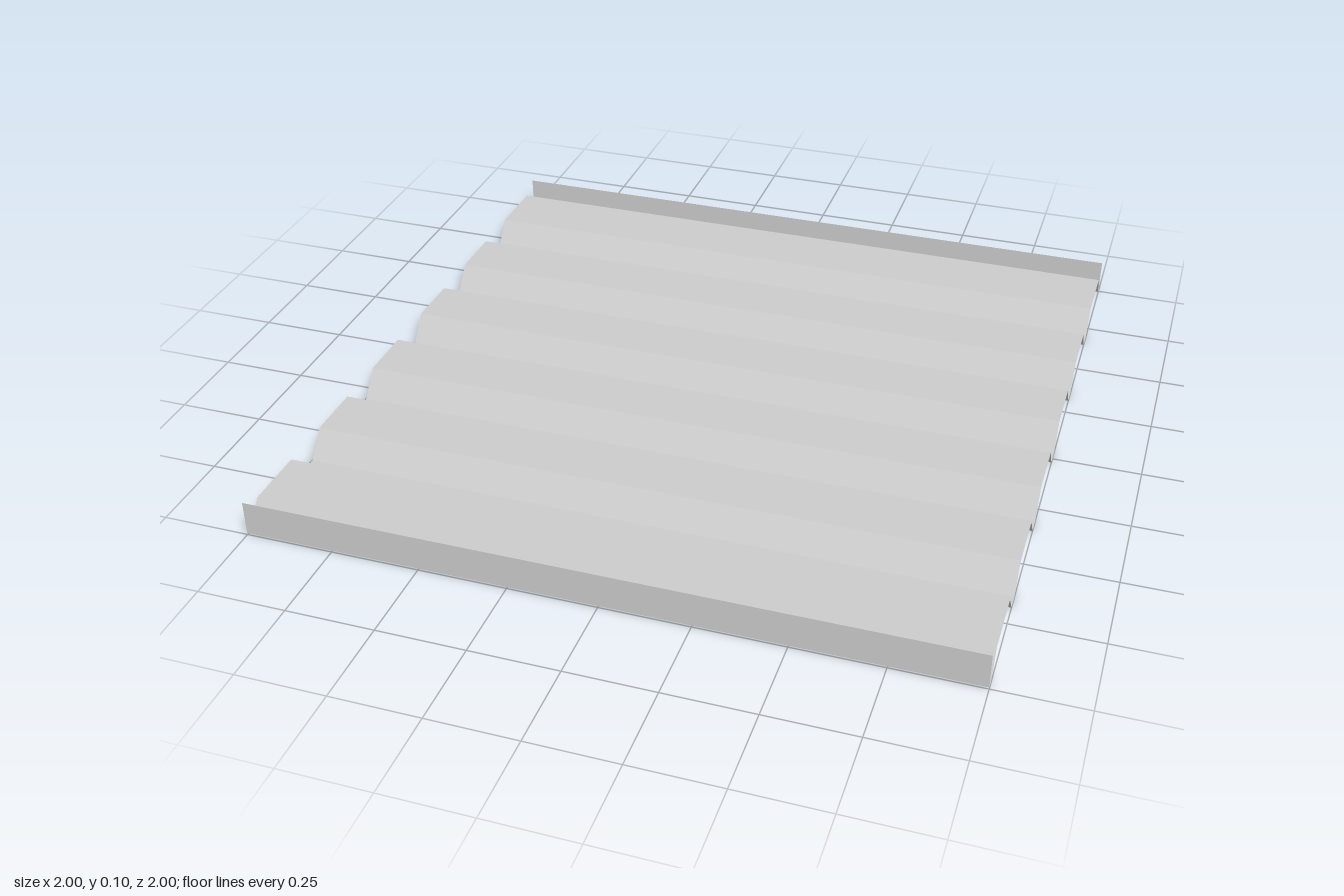
import * as THREE from 'three';

const HALF = 1;         // half length along x and half depth along z
const RIDGE = 0.073;    // height of the flat ridges
const FLANGE = 0.005;   // height of the foot of the edge walls
const WALL = 0.105;     // height of the upturned edge walls

// Flat strips along x joining the [z, y] points of a cross-section
function sheet(name, profile, material) {
  const positions = [];
  for (let i = 0; i < profile.length - 1; i++) {
    const [z0, y0] = profile[i];
    const [z1, y1] = profile[i + 1];
    positions.push(
      -HALF, y0, z0, -HALF, y1, z1, HALF, y1, z1,
      -HALF, y0, z0, HALF, y1, z1, HALF, y0, z0
    );
  }
  const geometry = new THREE.BufferGeometry();
  geometry.setAttribute('position', new THREE.Float32BufferAttribute(positions, 3));
  geometry.computeVertexNormals();
  const mesh = new THREE.Mesh(geometry, material);
  mesh.name = name;
  return mesh;
}

export function createModel() {
  const group = new THREE.Group();
  group.name = 'corrugatedPanel';
  const metal = new THREE.MeshStandardMaterial({
    color: 0xcccccc, flatShading: true, side: THREE.DoubleSide,
  });

  // Trapezoid corrugation: five valleys between six ridges
  const ribs = [[-0.987, FLANGE], [-0.943, RIDGE]];
  for (let i = -2; i <= 2; i++) {
    const z = i * 0.333 - 0.003;
    ribs.push([z - 0.082, RIDGE], [z - 0.022, 0], [z + 0.022, 0], [z + 0.081, RIDGE]);
  }
  ribs.push([0.929, RIDGE], [0.974, FLANGE]);
  group.add(sheet('corrugatedSheet', ribs, metal));

  // Upturned walls, each with a narrow foot joining the sheet
  group.add(sheet('backEdgeWall', [[-HALF, WALL], [-HALF, FLANGE], [-0.987, FLANGE]], metal));
  group.add(sheet('frontEdgeWall', [[0.974, FLANGE], [HALF, FLANGE], [HALF, WALL]], metal));

  return group;
}
